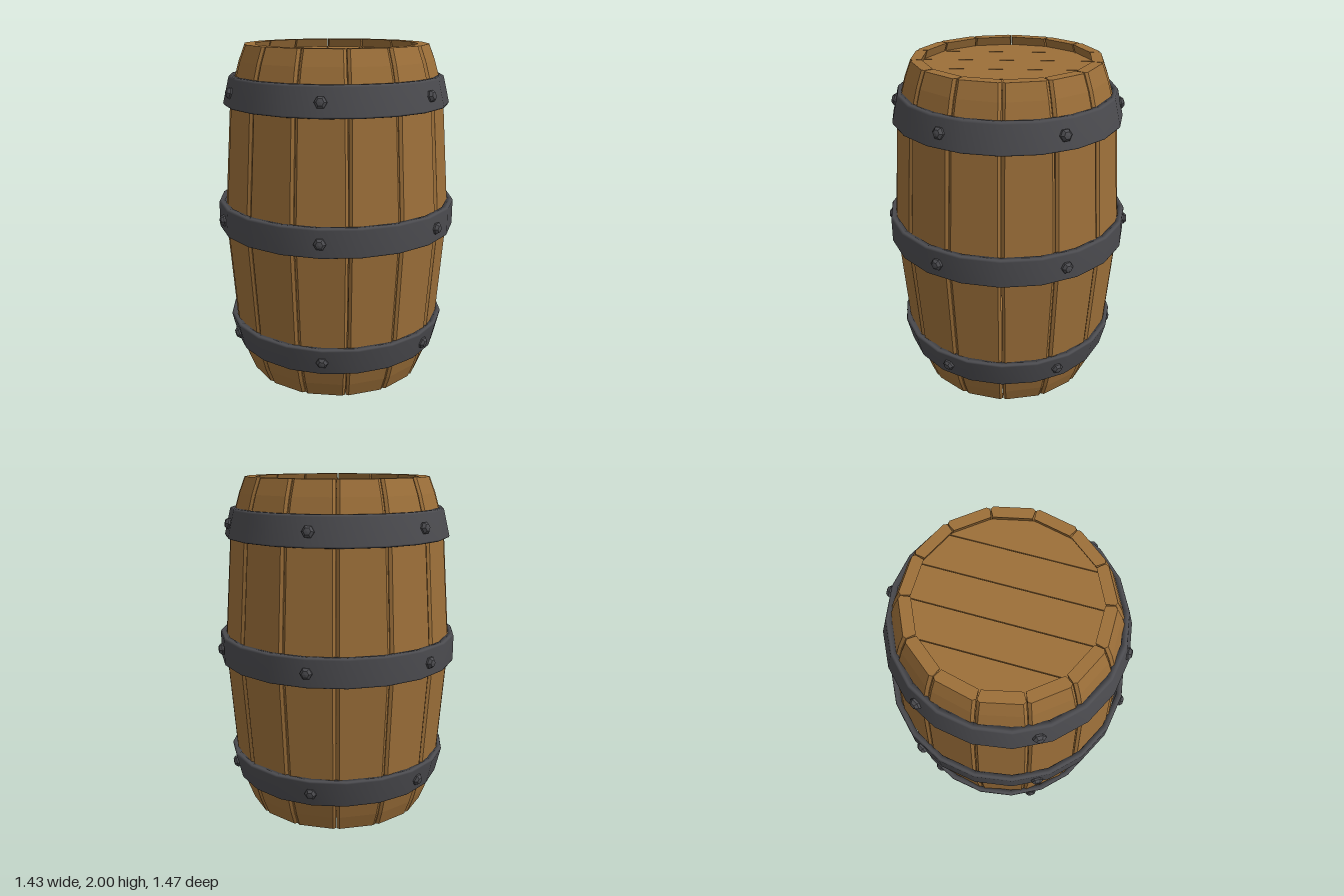
import * as THREE from 'three';

const STAVES = 14;
const HALF = Math.PI / STAVES;

export function createModel() {
  const model = new THREE.Group();
  const wood = new THREE.MeshStandardMaterial({ color: 0x9c6f39 });
  const iron = new THREE.MeshStandardMaterial({ color: 0x4b4b4f });
  wood.name = 'wood';
  iron.name = 'iron';
  wood.flatShading = true;

  const add = (parent, geometry, material, name) => {
    const mesh = new THREE.Mesh(geometry, material);
    mesh.name = name;
    parent.add(mesh);
    return mesh;
  };

  // Staves: chamfered planks following the bulge, with a thin gap between them
  const staves = new THREE.Group();
  staves.name = 'staves';
  model.add(staves);
  const staveGeometry = makeStave();
  for (let i = 0; i < STAVES; i++) {
    add(staves, staveGeometry, wood, 'stave').rotation.y = i * 2 * HALF;
  }

  // Lid: five planks cut to the outline of the barrel
  const lid = new THREE.Group();
  lid.name = 'lid';
  model.add(lid);
  const edges = [-0.5, -0.3, -0.1, 0.1, 0.3, 0.5];
  for (let i = 0; i < 5; i++) {
    const plank = add(lid, makePlank(edges[i] + 0.002, edges[i + 1] - 0.002, 0.5), wood, 'lidPlank');
    plank.rotation.x = -Math.PI / 2;
    plank.position.y = 1.905;
  }

  // Bottom: one recessed disc
  const bottom = add(model, new THREE.CylinderGeometry(0.5, 0.5, 0.045, STAVES, 1, false, HALF), wood, 'bottom');
  bottom.position.y = 0.073;

  // Hoops: [name, bottom y, top y, bottom radius, top radius]
  const hoops = [
    ['lowerHoop', 0.185, 0.355, 0.632, 0.667],
    ['middleHoop', 0.915, 1.085, 0.715, 0.715],
    ['upperHoop', 1.655, 1.825, 0.667, 0.632],
  ];
  const rivetGeometry = makeRivet();
  for (const [name, y0, y1, r0, r1] of hoops) {
    const hoop = new THREE.Group();
    hoop.name = name;
    model.add(hoop);
    add(hoop, makeHoop(y0, y1, r0, r1), iron, 'band');

    // Six rivets around each hoop, square to its surface
    for (let k = 0; k < 6; k++) {
      const pivot = new THREE.Group();
      pivot.name = 'rivetPivot';
      pivot.rotation.y = k * Math.PI / 3;
      hoop.add(pivot);
      const rivet = add(pivot, rivetGeometry, iron, 'rivet');
      rivet.position.set(0, (y0 + y1) / 2, (r0 + r1) / 2);
      rivet.rotation.x = Math.PI / 2 - Math.atan2(r0 - r1, y1 - y0);
    }
  }
  return model;
}

// One stave facing +z, lofted through [height, outer corner radius]
function makeStave() {
  const profile = [[0, 0.545], [0.09, 0.58], [0.28, 0.635], [1, 0.688], [1.72, 0.635], [1.91, 0.58], [2, 0.545]];
  const gap = 0.005, bevel = 0.014, thick = 0.063;
  const rings = profile.map(([y, r]) => {
    const a = r * Math.cos(HALF), w = r * Math.sin(HALF) - gap;
    const ai = a - thick, wi = ai * Math.tan(HALF) - gap;
    return [[-wi, ai], [-w, a - bevel], [-w + bevel, a], [w - bevel, a], [w, a - bevel], [wi, ai]]
      .map(([x, z]) => [x, y, z]);
  });
  const pos = [];
  const tri = (...corners) => corners.forEach((c) => pos.push(...c));
  for (let l = 0; l < rings.length - 1; l++) {
    const lo = rings[l], hi = rings[l + 1];
    for (let i = 0; i < 6; i++) {
      const j = (i + 1) % 6;
      tri(lo[i], lo[j], hi[j]);
      tri(lo[i], hi[j], hi[i]);
    }
  }
  const first = rings[0], last = rings[rings.length - 1];
  for (let i = 1; i < 5; i++) {
    tri(last[0], last[i], last[i + 1]);
    tri(first[0], first[i + 1], first[i]);
  }
  const geometry = new THREE.BufferGeometry();
  geometry.setAttribute('position', new THREE.Float32BufferAttribute(pos, 3));
  geometry.computeVertexNormals();
  return geometry;
}

// Lid plank between x0 and x1, clipped to a regular polygon of radius r
function makePlank(x0, x1, r) {
  const corners = [];
  for (let i = 0; i <= STAVES / 2; i++) {
    const angle = Math.PI - i * 2 * HALF;
    corners.push([r * Math.cos(angle), r * Math.sin(angle)]);
  }
  const depth = (x) => {
    const i = Math.max(1, corners.findIndex((c) => c[0] >= x));
    const [a, b] = [corners[i - 1], corners[i]];
    return a[1] + (b[1] - a[1]) * (x - a[0]) / (b[0] - a[0]);
  };
  const xs = [x0, ...corners.map((c) => c[0]).filter((x) => x > x0 && x < x1), x1];
  const far = xs.map((x) => new THREE.Vector2(x, depth(x)));
  const near = xs.map((x) => new THREE.Vector2(x, -depth(x))).reverse();
  return new THREE.ExtrudeGeometry(new THREE.Shape([...far, ...near]), { depth: 0.045, bevelEnabled: false });
}

// Twenty-sided band with softened edges
function makeHoop(y0, y1, r0, r1) {
  const t = 0.036, b = 0.012;
  const points = [
    [r0 - t, y0], [r0 - b, y0], [r0 - b * 0.3, y0 + b * 0.3], [r0, y0 + b],
    [r1, y1 - b], [r1 - b * 0.3, y1 - b * 0.3], [r1 - b, y1], [r1 - t, y1], [r0 - t, y0],
  ].map(([r, y]) => new THREE.Vector2(r, y));
  return new THREE.LatheGeometry(points, 20);
}

// Six-sided faceted rivet head pointing along +y
function makeRivet() {
  const points = [[0.035, -0.015], [0.035, 0.004], [0.021, 0.019], [0, 0.022]]
    .map(([r, y]) => new THREE.Vector2(r, y));
  const geometry = new THREE.LatheGeometry(points, 6, Math.PI / 2).toNonIndexed();
  geometry.computeVertexNormals();
  return geometry;
}
